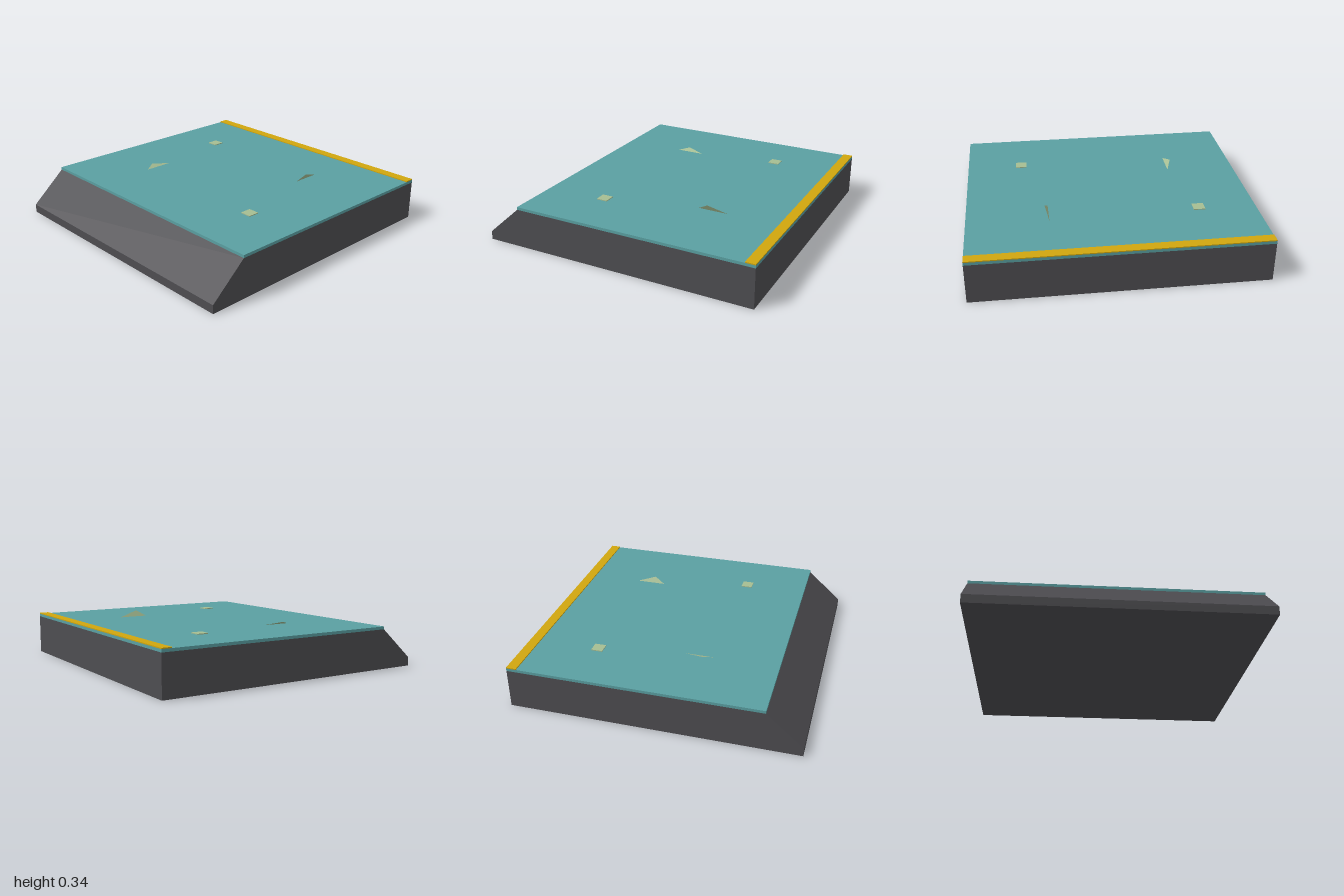
import * as THREE from 'three';

export function createModel() {
  const group = new THREE.Group();
  const material = (name, color, side = THREE.FrontSide) => {
    const m = new THREE.MeshStandardMaterial({ color, side });
    m.name = name;
    return m;
  };
  const darkGray = material('darkGray', 0x4e4d51);
  const teal = material('teal', 0x5aa0a2);
  const yellow = material('yellow', 0xd0a60e);
  const paleGreen = material('paleGreen', 0xa6bd92, THREE.DoubleSide);

  const add = (name, geometry, mat) => {
    const mesh = new THREE.Mesh(geometry, mat);
    mesh.name = name;
    group.add(mesh);
    return mesh;
  };
  // Box given by its limits on each axis
  const box = (name, mat, [x0, x1], [y0, y1], [z0, z1]) =>
    add(name, new THREE.BoxGeometry(x1 - x0, y1 - y0, z1 - z0), mat)
      .position.set((x0 + x1) / 2, (y0 + y1) / 2, (z0 + z1) / 2);

  // Base block with a sloping front, extruded across the width
  const side = new THREE.Shape([[-1, 0], [1, 0], [1, 0.28], [-0.75, 0.28], [-1, 0.06]]
    .map(([z, y]) => new THREE.Vector2(z, y)));
  const base = new THREE.ExtrudeGeometry(side, { depth: 2, bevelEnabled: false });
  base.translate(0, 0, -1).rotateY(Math.PI / 2);
  add('base', base, darkGray);

  // Top slab and the raised stripe along its back edge
  box('topSlab', teal, [-1, 1], [0.28, 0.3], [-1, 0.75]);
  box('backStripe', yellow, [-1, 1], [0.3, 0.307], [-1, -0.93]);

  // Small square chips
  for (const [x, z] of [[-0.6, -0.5], [0.6, 0.3]]) {
    box('chip', paleGreen, [x - 0.04, x + 0.04], [0.3, 0.306], [z - 0.04, z + 0.04]);
  }

  // Thin leaning shards: back foot, front foot and tip
  const shard = (...corners) => {
    const g = new THREE.BufferGeometry();
    g.setAttribute('position', new THREE.Float32BufferAttribute(corners.flat(), 3));
    g.computeVertexNormals();
    add('shard', g, paleGreen);
  };
  shard([-0.502, 0.3, 0.09], [-0.545, 0.319, 0.22], [-0.502, 0.3, 0.295]);
  shard([0.438, 0.3, -0.565], [0.438, 0.3, -0.35], [0.462, 0.343, -0.425]);

  return group;
}
